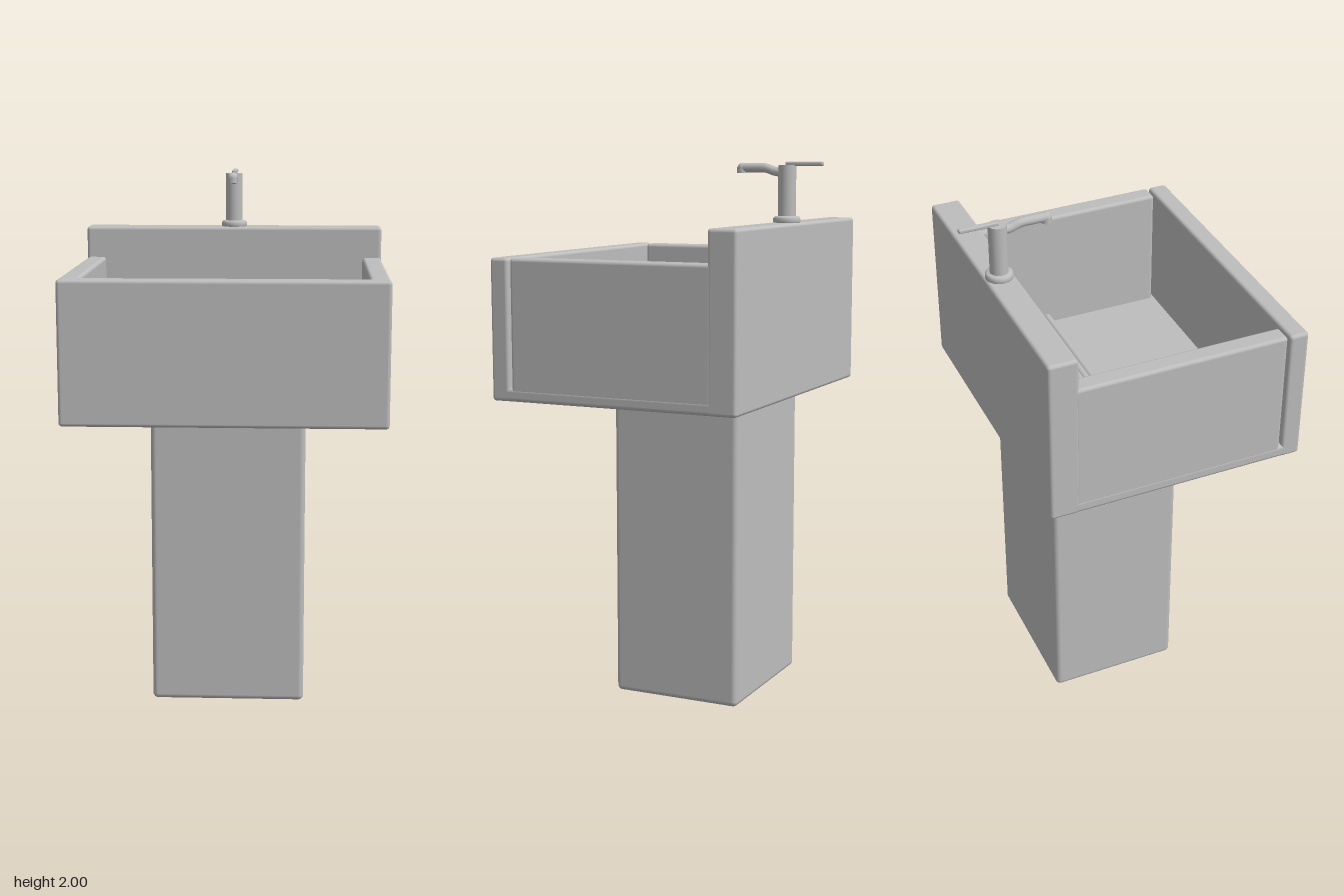
import * as THREE from 'three';
import { RoundedBoxGeometry } from 'three/addons/geometries/RoundedBoxGeometry.js';

export function createModel() {
  const model = new THREE.Group();
  model.name = 'utilitySink';
  const grey = new THREE.MeshStandardMaterial({ color: 0xbdbdbd });
  grey.name = 'ceramicGrey';

  const add = (name, geometry, x = 0, y = 0, z = 0, parent = model) => {
    const mesh = new THREE.Mesh(geometry, grey);
    mesh.name = name;
    mesh.position.set(x, y, z);
    parent.add(mesh);
    return mesh;
  };
  // Rounded box given by its lower and upper limits on each axis
  const block = (name, [x0, x1], [y0, y1], [z0, z1], r, parent) =>
    add(name, new RoundedBoxGeometry(x1 - x0, y1 - y0, z1 - z0, 4, r),
      (x0 + x1) / 2, (y0 + y1) / 2, (z0 + z1) / 2, parent);

  // Pedestal with a small neck under the basin
  block('pedestal', [-0.29, 0.29], [0, 1.13], [-0.322, 0.178], 0.02);
  add('pedestalNeck', new THREE.BoxGeometry(0.54, 0.04, 0.46), 0, 1.13, -0.072);

  // Basin: floor slab and four walls
  const basin = new THREE.Group();
  basin.name = 'basin';
  model.add(basin);
  block('basinFloor', [-0.583, 0.583], [1.14, 1.19], [-0.445, 0.525], 0.015, basin);
  block('frontWall', [-0.583, 0.583], [1.14, 1.66], [0.452, 0.525], 0.013, basin);
  block('backWall', [-0.583, 0.583], [1.14, 1.78], [-0.445, -0.334], 0.013, basin);
  for (const [name, x0, x1] of [['rightWall', -0.582, -0.509], ['leftWall', 0.509, 0.582]])
    block(name, [x0, x1], [1.142, 1.66], [-0.35, 0.444], 0.013, basin);

  // Sloping washboard with round ribs
  const washboard = new THREE.Group();
  washboard.name = 'washboard';
  model.add(washboard);
  const low = new THREE.Vector2(0.04, 1.185), high = new THREE.Vector2(-0.345, 1.495);
  const boardShape = new THREE.Shape([
    low, high, new THREE.Vector2(-0.345, 1.44), new THREE.Vector2(-0.022, 1.18),
  ].map((p) => new THREE.Vector2(-p.x, p.y)));
  const boardGeometry = new THREE.ExtrudeGeometry(boardShape, { depth: 0.89, bevelEnabled: false });
  boardGeometry.rotateY(Math.PI / 2);
  add('board', boardGeometry, -0.445, 0, 0, washboard);
  const slope = (high.y - low.y) / (high.x - low.x);
  for (let i = 0; i < 7; i++) {
    const z = -0.297 + i * 0.0425;
    const rib = new THREE.CylinderGeometry(0.0155, 0.0155, 0.896, 16).rotateZ(Math.PI / 2);
    add('rib', rib, 0, low.y + (z - low.x) * slope + 0.004, z, washboard);
  }

  // Drain disc in the floor
  add('drain', new THREE.CylinderGeometry(0.043, 0.043, 0.012, 32), 0, 1.189, 0.233);

  // Tap: flange, column, spout and lever
  const tap = new THREE.Group();
  tap.name = 'tap';
  tap.position.set(0, 0, -0.39);
  model.add(tap);
  const flange = [[0, 1.775], [0.045, 1.775], [0.05, 1.782], [0.05, 1.795], [0.045, 1.802], [0.034, 1.804]];
  add('flange', new THREE.LatheGeometry(flange.map((p) => new THREE.Vector2(...p)), 32), 0, 0, 0, tap);
  add('column', new THREE.CylinderGeometry(0.033, 0.033, 0.19, 32), 0, 1.893, 0, tap);
  const path = new THREE.CatmullRomCurve3(
    [[1.962, 0.01], [1.965, 0.045], [1.977, 0.085], [1.978, 0.13], [1.978, 0.175]]
      .map(([y, z]) => new THREE.Vector3(0, y, z)));
  add('spout', new THREE.TubeGeometry(path, 24, 0.017, 16), 0, 0, 0, tap);
  add('spoutElbow', new THREE.SphereGeometry(0.018, 20, 14), 0, 1.978, 0.178, tap);
  add('spoutTip', new THREE.CylinderGeometry(0.019, 0.019, 0.022, 20), 0, 1.969, 0.18, tap);
  block('lever', [-0.01, 0.01], [1.985, 2], [-0.14, 0.005], 0.005, tap);

  return model;
}
